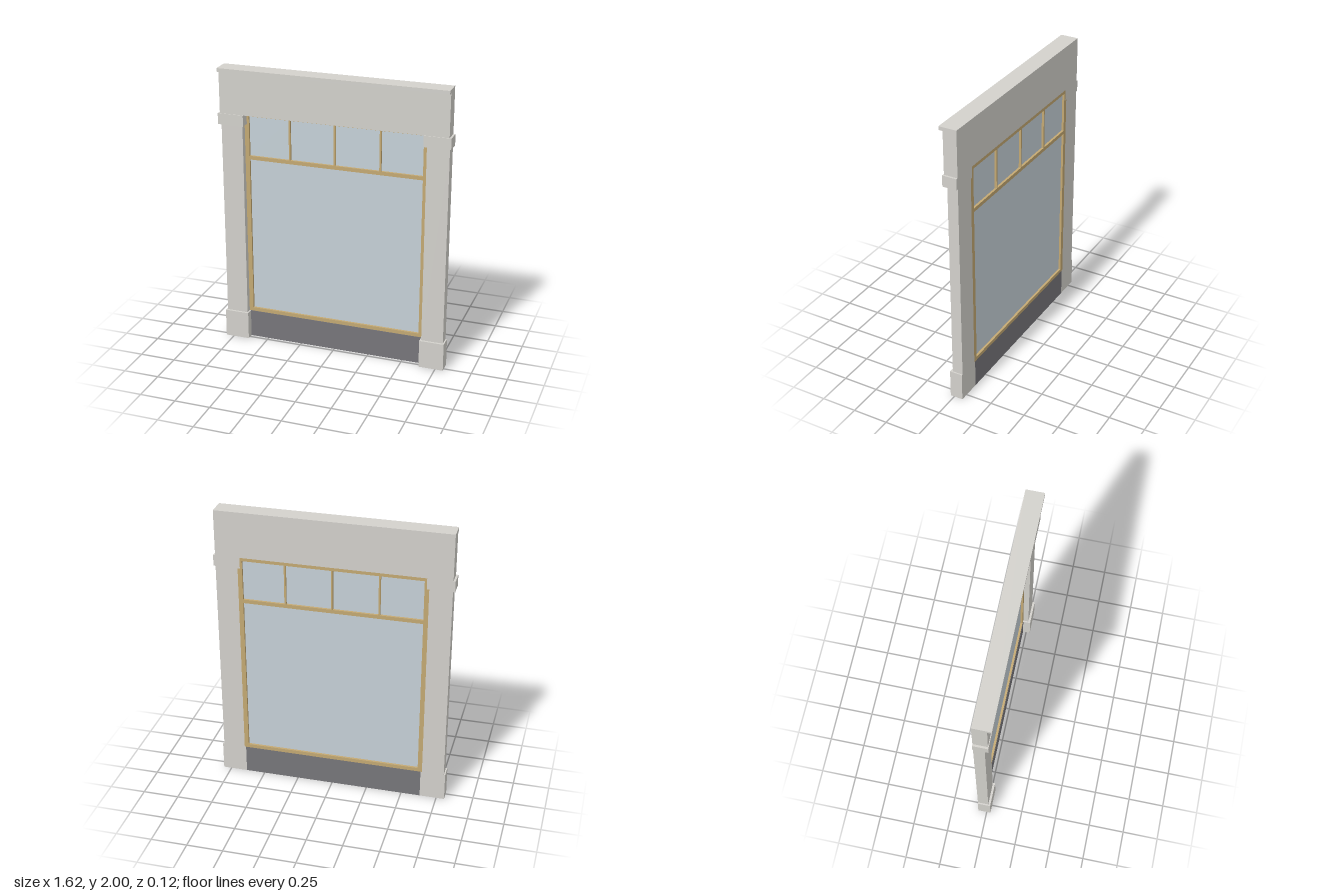
import * as THREE from 'three';

const BACK = -0.0625;
const stone = new THREE.MeshStandardMaterial({ color: 0xd3d1cc });
const wood = new THREE.MeshStandardMaterial({ color: 0xc4a973 });
const dark = new THREE.MeshStandardMaterial({ color: 0x77767a });
const glass = new THREE.MeshStandardMaterial({ color: 0xc6d1d8 });

// box given by its limits on each axis
function block(name, material, x0, x1, y0, y1, z0, z1) {
  const mesh = new THREE.Mesh(new THREE.BoxGeometry(x1 - x0, y1 - y0, z1 - z0), material);
  mesh.position.set((x0 + x1) / 2, (y0 + y1) / 2, (z0 + z1) / 2);
  mesh.name = name;
  return mesh;
}

function rectangle(target, x0, x1, y0, y1) {
  target.moveTo(x0, y0);
  target.lineTo(x1, y0);
  target.lineTo(x1, y1);
  target.lineTo(x0, y1);
  target.closePath();
  return target;
}

export function createModel() {
  const model = new THREE.Group();
  model.name = 'shopWindow';

  // lintel with a projecting cornice
  const profile = new THREE.Shape();
  [[BACK, 1.68], [0.034, 1.68], [0.034, 1.975], [0.0625, 1.975], [0.0625, 2], [BACK, 2]]
    .forEach(([z, y], i) => (i ? profile.lineTo(-z, y) : profile.moveTo(-z, y)));
  const lintelGeometry = new THREE.ExtrudeGeometry(profile, { depth: 1.592, bevelEnabled: false });
  lintelGeometry.translate(0, 0, -0.796).rotateY(Math.PI / 2);
  const lintel = new THREE.Mesh(lintelGeometry, stone);
  lintel.name = 'lintelAndCornice';
  model.add(lintel);

  // pilasters: plinth, shaft and capital on each side
  for (const [side, s] of [['left', 1], ['right', -1]]) {
    const pilaster = new THREE.Group();
    pilaster.name = side + 'Pilaster';
    const add = (name, inner, outer, y0, y1, front) => pilaster.add(
      block(name, stone, Math.min(s * inner, s * outer), Math.max(s * inner, s * outer), y0, y1, BACK, front));
    add('plinth', 0.633, 0.806, 0, 0.2, 0.028);
    add('shaft', 0.643, 0.796, 0.2, 1.603, 0.0125);
    add('capital', 0.627, 0.81, 1.603, 1.68, 0.039);
    model.add(pilaster);
  }

  // panel below the window
  model.add(block('stallRiser', dark, -0.633, 0.633, 0, 0.2, BACK, -0.024));

  // wooden frame: one large opening and four small lights above
  const edges = [-0.612, -0.319, 0, 0.319, 0.612];
  const bar = 0.006;
  const outline = new THREE.Shape();
  [[-0.643, 0.2], [0.643, 0.2], [0.643, 1.603], [0.627, 1.603], [0.627, 1.68],
    [-0.627, 1.68], [-0.627, 1.603], [-0.643, 1.603]]
    .forEach(([x, y], i) => (i ? outline.lineTo(x, y) : outline.moveTo(x, y)));
  outline.holes.push(rectangle(new THREE.Path(), -0.612, 0.612, 0.226, 1.35));
  for (let i = 0; i < 4; i++) {
    const x0 = edges[i] + (i > 0 ? bar : 0);
    const x1 = edges[i + 1] - (i < 3 ? bar : 0);
    outline.holes.push(rectangle(new THREE.Path(), x0, x1, 1.376, 1.658));
  }
  const frameGeometry = new THREE.ExtrudeGeometry(outline, { depth: 0.036, bevelEnabled: false });
  frameGeometry.translate(0, 0, BACK);
  const frame = new THREE.Mesh(frameGeometry, wood);
  frame.name = 'windowFrame';
  model.add(frame);

  // glazing
  model.add(block('mainPane', glass, -0.612, 0.612, 0.226, 1.35, -0.047, -0.042));
  for (let i = 0; i < 4; i++) {
    model.add(block('upperPane' + (i + 1), glass, edges[i] + (i > 0 ? bar : 0),
      edges[i + 1] - (i < 3 ? bar : 0), 1.376, 1.658, -0.047, -0.042));
  }
  return model;
}
